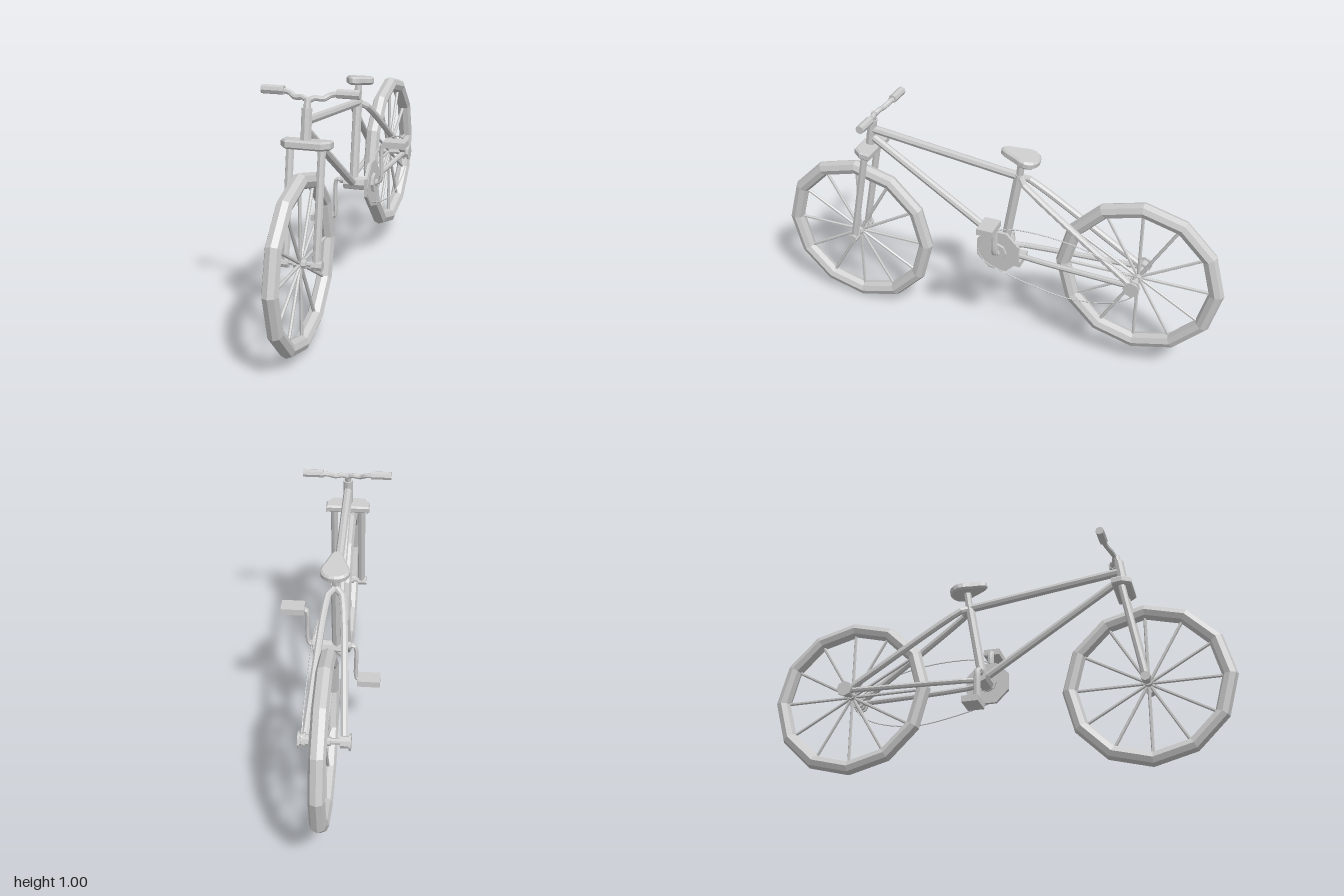
import * as THREE from 'three';

const CX = -0.02; // frame centre plane
const grey = new THREE.MeshStandardMaterial({ color: 0xcccccc, flatShading: true, side: THREE.DoubleSide });
const V = (x, y, z) => new THREE.Vector3(x, y, z);

function add(parent, name, geometry) {
  const mesh = new THREE.Mesh(geometry, grey);
  mesh.name = name;
  parent.add(mesh);
  return mesh;
}

// straight round bar between two points
function rod(parent, name, a, b, r, sides = 8, r2 = r) {
  const dir = b.clone().sub(a);
  const mesh = add(parent, name, new THREE.CylinderGeometry(r2, r, dir.length(), sides));
  mesh.position.copy(a).add(b).multiplyScalar(0.5);
  mesh.quaternion.setFromUnitVectors(V(0, 1, 0), dir.normalize());
  return mesh;
}

// bent tube through points
function bent(parent, name, pts, r, segments = 14, closed = false, sides = 8) {
  const curve = new THREE.CatmullRomCurve3(pts, closed, 'centripetal');
  return add(parent, name, new THREE.TubeGeometry(curve, segments, r, sides, closed));
}

// plate drawn in plan (x, z), extruded downwards with a bevel
function plate(parent, name, shape, thickness, bevel) {
  const g = new THREE.ExtrudeGeometry(shape, {
    depth: thickness - 2 * bevel, bevelThickness: bevel, bevelSize: bevel,
    bevelOffset: -bevel, bevelSegments: 1, curveSegments: 5,
  });
  g.rotateX(Math.PI / 2);
  return add(parent, name, g);
}

function wheel(name, y, z) {
  const g = new THREE.Group();
  g.name = name;
  const tyre = add(g, 'tyre', new THREE.TorusGeometry(0.324, 0.032, 8, 12));
  tyre.rotation.y = Math.PI / 2;
  for (let i = 0; i < 12; i++) {
    const a = (i * Math.PI) / 6;
    rod(g, 'spoke', V(0, 0, 0), V(0, Math.sin(a) * 0.3, Math.cos(a) * 0.3), 0.007, 6);
  }
  rod(g, 'hub', V(-0.025, 0, 0), V(0.025, 0, 0), 0.018);
  g.position.set(CX, y, z);
  return g;
}

function frame() {
  const g = new THREE.Group();
  g.name = 'frame';
  const bracket = V(CX, 0.47, -0.055), seatTop = V(CX, 0.81, -0.115);
  rod(g, 'topTube', V(CX, 0.892, 0.545), seatTop, 0.018);
  rod(g, 'downTube', V(CX, 0.855, 0.55), V(CX, 0.48, -0.03), 0.017);
  rod(g, 'seatTube', bracket, V(CX, 0.82, -0.115), 0.02);
  rod(g, 'seatPost', seatTop, V(CX, 0.9, -0.128), 0.016);
  rod(g, 'bottomBracket', V(-0.06, 0.47, -0.055), V(0.045, 0.47, -0.055), 0.03);
  // paired stays leading to the rear axle
  for (const s of [-1, 1]) {
    bent(g, 'seatStay', [
      V(CX, 0.81, -0.12), V(CX + s * 0.025, 0.795, -0.14), V(CX + s * 0.038, 0.755, -0.2),
      V(CX + s * 0.075, 0.455, -0.635)], 0.015);
    bent(g, 'chainStay', [
      V(CX, 0.455, -0.06), V(CX + s * 0.03, 0.452, -0.09), V(CX + s * 0.045, 0.45, -0.18),
      V(CX + s * 0.075, 0.452, -0.635)], 0.012);
    rod(g, 'axleEnd', V(CX + s * 0.06, 0.452, -0.64), V(CX + s * 0.096, 0.452, -0.64), 0.025);
    rod(g, 'axleCap', V(CX + s * 0.094, 0.452, -0.64), V(CX + s * 0.102, 0.452, -0.64), 0.034);
  }
  rod(g, 'rearAxle', V(CX - 0.09, 0.452, -0.64), V(CX + 0.09, 0.452, -0.64), 0.012);
  return g;
}

function saddle(parent) {
  // teardrop with its narrow nose forwards
  const s = new THREE.Shape();
  s.moveTo(0, 0.085);
  s.bezierCurveTo(0.03, 0.085, 0.03, 0.03, 0.055, -0.01);
  s.bezierCurveTo(0.072, -0.05, 0.04, -0.083, 0, -0.083);
  s.bezierCurveTo(-0.04, -0.083, -0.072, -0.05, -0.055, -0.01);
  s.bezierCurveTo(-0.03, 0.03, -0.03, 0.085, 0, 0.085);
  const m = plate(parent, 'saddle', s, 0.034, 0.008);
  m.position.set(CX, 0.913, -0.122);
  m.rotation.x = -0.17;
}

function fork() {
  const g = new THREE.Group();
  g.name = 'fork';
  for (const s of [-1, 1]) {
    rod(g, 'forkLeg', V(CX + s * 0.062, 0.8, 0.56), V(CX + s * 0.062, 0.35, 0.642), 0.016);
    rod(g, 'axleKnob', V(CX + s * 0.046, 0.36, 0.64), V(CX + s * 0.086, 0.36, 0.64), 0.02);
  }
  rod(g, 'frontAxle', V(CX - 0.08, 0.363, 0.64), V(CX + 0.08, 0.363, 0.64), 0.01);
  // crown, tapered towards the front corners
  const c = new THREE.Shape();
  [[-0.097, -0.04], [0.097, -0.04], [0.097, 0.005], [0.07, 0.04], [-0.07, 0.04], [-0.097, 0.005]]
    .forEach(([x, z], i) => (i ? c.lineTo(x, z) : c.moveTo(x, z)));
  c.closePath();
  const crown = plate(g, 'forkCrown', c, 0.034, 0.007);
  crown.position.set(CX, 0.816, 0.562);
  crown.rotation.x = -0.1;
  rod(g, 'headTube', V(CX, 0.79, 0.567), V(CX, 0.94, 0.545), 0.021);
  rod(g, 'stem', V(CX, 0.93, 0.546), V(CX, 0.972, 0.535), 0.014);
  // handlebar dips in the middle and sweeps back to the grips
  const half = [[0.025, 0.975, 0.524], [0.055, 0.972, 0.52], [0.08, 0.985, 0.507], [0.11, 0.99, 0.502]];
  const pts = [...half.map(([x, y, z]) => V(CX - x, y, z)).reverse(), V(CX, 0.966, 0.532),
    ...half.map(([x, y, z]) => V(CX + x, y, z))];
  bent(g, 'handlebar', pts, 0.011, 24);
  for (const s of [-1, 1]) {
    rod(g, 'grip', V(CX + s * 0.103, 0.991, 0.502), V(CX + s * 0.192, 0.991, 0.502), 0.018);
  }
  return g;
}

function drivetrain() {
  const g = new THREE.Group();
  g.name = 'drivetrain';
  const y0 = 0.48, z0 = -0.055;
  // chainring: octagonal disc with a raised centre
  const ring = rod(g, 'chainring', V(0.052, y0, z0), V(0.066, y0, z0), 0.1);
  ring.rotateY(Math.PI / 8);
  rod(g, 'chainringBoss', V(0.045, y0, z0), V(0.078, y0, z0), 0.042);
  rod(g, 'crankAxle', V(-0.08, y0, z0), V(0.088, y0, z0), 0.016);
  rod(g, 'sprocket', V(0.052, 0.452, -0.64), V(0.06, 0.452, -0.64), 0.032);
  // cranks and pedals on opposite sides, half a turn apart
  for (const s of [-1, 1]) {
    const crank = bent(g, 'crank', [
      V(s * 0.075, 0, 0), V(s * 0.092, 0.003, 0), V(s * 0.101, s * 0.018, 0),
      V(s * 0.102, s * 0.15, 0), V(s * 0.106, s * 0.168, 0), V(s * 0.125, s * 0.175, 0)], 0.009, 18);
    crank.position.set(0, y0, z0);
    crank.scale.z = 1.6;
    const pedal = add(g, 'pedal', new THREE.BoxGeometry(0.097, 0.027, 0.07));
    pedal.position.set(s * 0.16 + 0.002, y0 + s * 0.177, z0);
  }
  // slack, thin chain loop
  const loop = [[0.035, 0.48], [-0.01, 0.555], [-0.08, 0.595], [-0.2, 0.61], [-0.42, 0.588], [-0.6, 0.52],
    [-0.665, 0.45], [-0.6, 0.375], [-0.4, 0.325], [-0.2, 0.35], [-0.07, 0.385], [0.01, 0.42]];
  bent(g, 'chain', loop.map(([z, y]) => V(0.066, y, z)), 0.0025, 60, true, 5);
  return g;
}

export function createModel() {
  const bike = new THREE.Group();
  bike.name = 'bicycle';
  bike.add(wheel('frontWheel', 0.362, 0.642), wheel('rearWheel', 0.452, -0.642));
  const f = frame();
  saddle(f);
  bike.add(f, fork(), drivetrain());
  // rest on the ground
  bike.position.y = -new THREE.Box3().setFromObject(bike).min.y;
  return bike;
}
